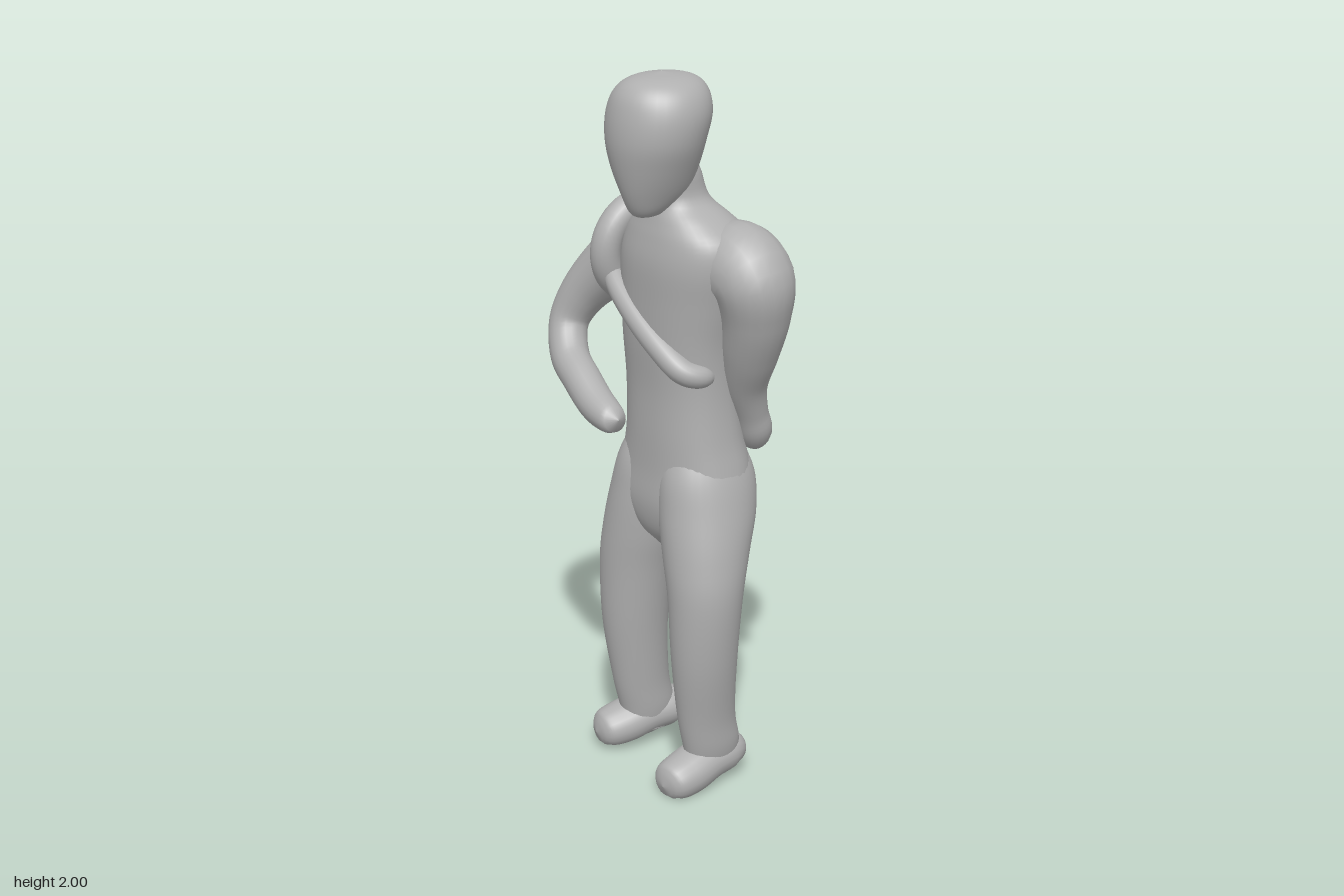
import * as THREE from 'three';
import { mergeVertices } from 'three/addons/utils/BufferGeometryUtils.js';

const grey = new THREE.MeshStandardMaterial({ color: 0xb0b0b0 });
grey.name = 'plain grey';

const spline = (pts) => new THREE.CatmullRomCurve3(pts.map((p) => new THREE.Vector3(...p)), false, 'catmullrom', 0.5);

// Stack of horizontal oval sections [y, xMin, xMax, zMin, zMax], bottom to top, smoothly blended
function loft(sections, steps = 48, sides = 36, power = 2) {
  const centres = spline(sections.map(([y, a, b, c, d]) => [(a + b) / 2, y, (c + d) / 2]));
  const radii = spline(sections.map(([, a, b, c, d]) => [(b - a) / 2, (d - c) / 2, 0]));
  const pos = [], index = [];
  const bend = (v) => Math.sign(v) * Math.abs(v) ** (2 / power);
  for (let i = 0; i <= steps; i++) {
    const c = centres.getPoint(i / steps), r = radii.getPoint(i / steps);
    for (let j = 0; j < sides; j++) {
      const t = (j / sides) * Math.PI * 2;
      pos.push(c.x + Math.max(r.x, 0.001) * bend(Math.cos(t)), c.y, c.z + Math.max(r.y, 0.001) * bend(Math.sin(t)));
      if (i === steps) continue;
      const a = i * sides + j, b = i * sides + ((j + 1) % sides);
      index.push(a, a + sides, b, b, a + sides, b + sides);
    }
  }
  const g = new THREE.BufferGeometry();
  g.setAttribute('position', new THREE.Float32BufferAttribute(pos, 3));
  g.setIndex(index);
  g.computeVertexNormals();
  return g;
}

// Tube along points [x, y, z, radius] whose thickness follows the listed radii
function limb(points, adjust) {
  const steps = 48, sides = 20;
  const path = spline(points.map((p) => p.slice(0, 3)));
  const radius = spline(points.map((p) => [p[3], 0, 0]));
  let g = new THREE.TubeGeometry(path, steps, 1, sides, false);
  const pos = g.attributes.position, v = new THREE.Vector3();
  for (let i = 0; i < pos.count; i++) {
    const u = Math.floor(i / (sides + 1)) / steps;
    const c = path.getPointAt(u);
    const r = Math.max(radius.getPoint(path.getUtoTmapping(u)).x, 0.001);
    v.fromBufferAttribute(pos, i).sub(c).multiplyScalar(r).add(c);
    if (adjust) adjust(v, c);
    pos.setXYZ(i, v.x, v.y, v.z);
  }
  g.deleteAttribute('uv');
  g.deleteAttribute('normal');
  g = mergeVertices(g, 1e-5);
  g.computeVertexNormals();
  return g;
}

export function createModel() {
  const model = new THREE.Group();
  model.name = 'standingFigure';
  const add = (name, geometry) => {
    const mesh = new THREE.Mesh(geometry, grey);
    mesh.name = name;
    model.add(mesh);
    return mesh;
  };

  // Head: rounded skull narrowing to a forward chin
  add('head', loft([
    [1.625, 0.069, 0.071, 0.115, 0.125],
    [1.64, 0.03, 0.11, 0.06, 0.155],
    [1.69, 0.0, 0.145, -0.01, 0.18],
    [1.76, -0.038, 0.178, -0.035, 0.2],
    [1.83, -0.063, 0.203, -0.05, 0.21],
    [1.9, -0.068, 0.208, -0.068, 0.205],
    [1.955, -0.045, 0.188, -0.06, 0.186],
    [1.987, 0.0, 0.145, -0.025, 0.145],
    [2.0, 0.069, 0.071, 0.059, 0.061],
  ]));

  // Torso: hips, waist, chest, sloping shoulders and neck
  add('torso', loft([
    [0.69, 0.02, 0.08, -0.05, 0.05],
    [0.74, -0.07, 0.18, -0.1, 0.09],
    [0.82, -0.165, 0.265, -0.16, 0.108],
    [0.92, -0.15, 0.255, -0.175, 0.105],
    [1.02, -0.122, 0.238, -0.155, 0.105],
    [1.15, -0.118, 0.228, -0.14, 0.105],
    [1.28, -0.125, 0.235, -0.15, 0.115],
    [1.4, -0.135, 0.26, -0.175, 0.12],
    [1.5, -0.135, 0.28, -0.182, 0.122],
    [1.57, -0.11, 0.27, -0.16, 0.112],
    [1.62, -0.06, 0.215, -0.115, 0.1],
    [1.67, -0.01, 0.15, -0.07, 0.09],
    [1.75, 0.0, 0.14, -0.04, 0.1],
    [1.8, 0.03, 0.11, 0.0, 0.08],
  ], 64, 40, 2.3));

  // Legs, slightly apart, thick at the thigh and tapering to the ankle
  add('rightLeg', loft([
    [0.05, -0.155, -0.06, -0.1, 0.05],
    [0.12, -0.172, -0.048, -0.105, 0.065],
    [0.22, -0.18, -0.043, -0.085, 0.088],
    [0.4, -0.2, -0.025, -0.078, 0.115],
    [0.58, -0.21, 0.003, -0.09, 0.123],
    [0.7, -0.202, 0.035, -0.125, 0.122],
    [0.82, -0.18, 0.06, -0.165, 0.115],
    [0.93, -0.145, 0.06, -0.165, 0.1],
    [1.04, -0.08, 0.03, -0.1, 0.05],
  ]));
  add('leftLeg', loft([
    [0.04, 0.14, 0.235, -0.1, 0.05],
    [0.12, 0.135, 0.255, -0.105, 0.07],
    [0.22, 0.13, 0.265, -0.085, 0.09],
    [0.4, 0.125, 0.295, -0.075, 0.115],
    [0.58, 0.11, 0.312, -0.085, 0.123],
    [0.7, 0.075, 0.304, -0.12, 0.122],
    [0.82, 0.04, 0.283, -0.165, 0.115],
    [0.93, 0.04, 0.253, -0.165, 0.1],
    [1.04, 0.08, 0.2, -0.1, 0.05],
  ]));

  // Feet: flattened below to a gently sloping sole, toes turned out
  const foot = (name, heelX, toeX, floor, shift) => {
    const at = (t, y, r) => [heelX + (toeX - heelX) * t, y + floor, -0.135 + 0.29 * t + shift, r];
    add(name, limb([
      at(0, 0.06, 0), at(0.04, 0.06, 0.035), at(0.2, 0.075, 0.063), at(0.45, 0.07, 0.068),
      at(0.7, 0.05, 0.07), at(0.9, 0.038, 0.06), at(0.98, 0.035, 0.032), at(1, 0.035, 0),
    ], (v, c) => {
      v.y = Math.max(c.y + (v.y - c.y) * 0.9, floor + 0.12 * (0.155 + shift - v.z));
    }));
  };
  foot('rightFoot', -0.09, -0.148, 0.018, -0.02);
  foot('leftFoot', 0.18, 0.2, 0, 0);

  // Right arm: bent elbow with the forearm across the waist
  add('rightArm', limb([
    [-0.07, 1.48, -0.04, 0.09], [-0.16, 1.46, -0.035, 0.105], [-0.24, 1.405, 0.0, 0.086],
    [-0.31, 1.32, 0.045, 0.067], [-0.335, 1.235, 0.08, 0.056], [-0.285, 1.155, 0.112, 0.054],
    [-0.2, 1.11, 0.13, 0.053], [-0.12, 1.07, 0.142, 0.051], [-0.05, 1.05, 0.148, 0.044],
    [-0.015, 1.052, 0.15, 0.03], [-0.004, 1.054, 0.15, 0],
  ]));

  // Left arm: rounded shoulder, with the hand resting behind the hip
  add('leftArm', limb([
    [0.14, 1.5, -0.06, 0.07], [0.21, 1.51, -0.065, 0.112], [0.285, 1.475, -0.07, 0.112],
    [0.288, 1.38, -0.08, 0.093], [0.256, 1.27, -0.09, 0.077], [0.22, 1.17, -0.105, 0.06],
    [0.205, 1.08, -0.135, 0.048], [0.195, 1.02, -0.158, 0.048], [0.17, 0.985, -0.165, 0.035], [0.16, 0.97, -0.165, 0],
  ]));

  // Thick rolled cuff around the right shoulder
  const cuff = add('shoulderCuff', new THREE.TorusGeometry(0.124, 0.042, 18, 48).rotateY(Math.PI / 2));
  cuff.position.set(-0.122, 1.487, -0.02);
  cuff.rotation.z = -0.08;

  // Diagonal fold across the chest, ending in a tuck at the left side
  add('chestFold', limb([
    [-0.125, 1.45, 0.08, 0.02], [-0.08, 1.41, 0.098, 0.03], [0.02, 1.345, 0.108, 0.033],
    [0.12, 1.28, 0.103, 0.034], [0.19, 1.23, 0.082, 0.034], [0.215, 1.212, 0.03, 0.028], [0.2, 1.21, -0.01, 0],
  ]));
  return model;
}
